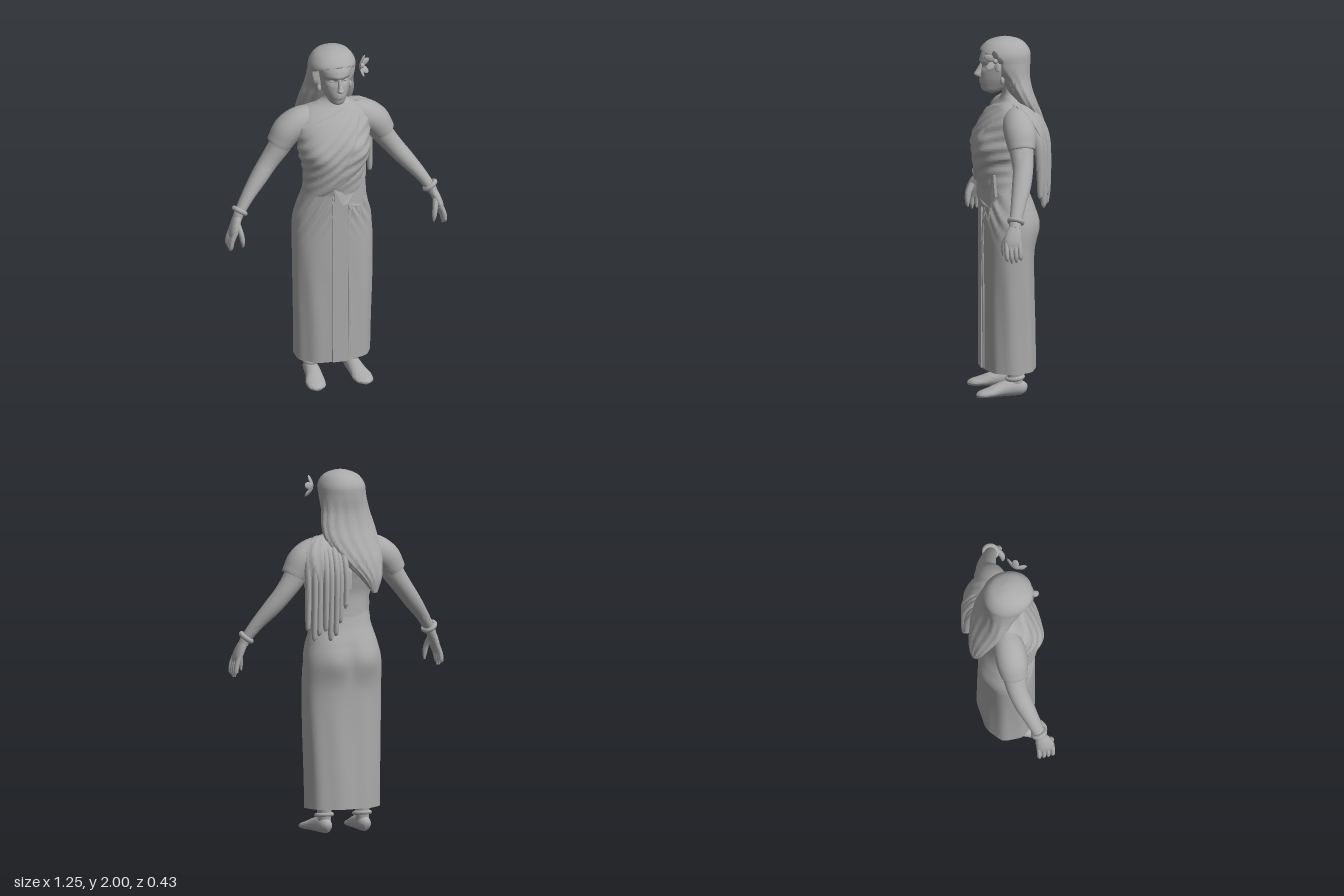
import * as THREE from 'three';
import { toCreasedNormals } from 'three/addons/utils/BufferGeometryUtils.js';

const stone = new THREE.MeshStandardMaterial({ color: 0xaaaaaa });
stone.name = 'stone grey';
const Z = new THREE.Vector3(0, 0, 1), X = new THREE.Vector3(1, 0, 0), Y = new THREE.Vector3(0, 1, 0);
const step = THREE.MathUtils.smoothstep;
const bump = (d, w) => Math.exp(-(d * d) / (w * w));

// Catmull-Rom interpolation of whole section rows
function spline(rows, t) {
  const f = t * (rows.length - 1), i = Math.min(Math.floor(f), rows.length - 2), u = f - i;
  const at = (k) => rows[THREE.MathUtils.clamp(k, 0, rows.length - 1)];
  const [a, b, c, d] = [at(i - 1), at(i), at(i + 1), at(i + 2)];
  return b.map((v, k) => 0.5 * (2 * v + (c[k] - a[k]) * u + (2 * a[k] - 5 * v + 4 * c[k] - d[k]) * u * u
    + (3 * v - a[k] - 3 * c[k] + d[k]) * u * u * u));
}

// Smooth tube through sections [x, y, z, radius along ref, radius across]
function sweep(rows, { ref = Z, rings = 24, sides = 20, axis = null, power = 1, shape = null } = {}) {
  const pos = [], idx = [], v = (r) => new THREE.Vector3(r[0], r[1], r[2]);
  for (let i = 0; i <= rings; i++) {
    const t = i / rings, s = spline(rows, t), c = v(s);
    const T = axis || v(spline(rows, Math.min(1, t + 0.01))).sub(v(spline(rows, Math.max(0, t - 0.01)))).normalize();
    const A = ref.clone().addScaledVector(T, -ref.dot(T)).normalize(), B = T.clone().cross(A);
    for (let j = 0; j < sides; j++) {
      const a = (j / sides) * Math.PI * 2, co = Math.cos(a), si = Math.sin(a);
      const p = c.clone()
        .addScaledVector(A, Math.sign(co) * Math.abs(co) ** power * Math.max(s[3], 0.001))
        .addScaledVector(B, Math.sign(si) * Math.abs(si) ** power * Math.max(s[4], 0.001));
      if (shape) shape(p, c, a);
      pos.push(p.x, p.y, p.z);
    }
  }
  for (let i = 0; i < rings; i++) for (let j = 0; j < sides; j++) {
    const a = i * sides + j, b = i * sides + (j + 1) % sides;
    idx.push(a, b, b + sides, a, b + sides, a + sides);
  }
  // end caps
  const n = (rings + 1) * sides, last = rings * sides;
  pos.push(...rows[0].slice(0, 3), ...rows[rows.length - 1].slice(0, 3));
  for (let j = 0; j < sides; j++) {
    const k = (j + 1) % sides;
    idx.push(n, k, j, n + 1, last + j, last + k);
  }
  const g = new THREE.BufferGeometry();
  g.setAttribute('position', new THREE.Float32BufferAttribute(pos, 3));
  g.setIndex(idx);
  return toCreasedNormals(g, 1.0);
}

const push = (p, c, d) => {
  const x = p.x - c.x, z = p.z - c.z, l = Math.hypot(x, z) || 1;
  p.x += (x / l) * d; p.z += (z / l) * d;
};

export function createModel() {
  const model = new THREE.Group();
  const add = (name, geo, parent = model) => {
    const m = new THREE.Mesh(geo, stone);
    m.name = name;
    parent.add(m);
    return m;
  };
  const ball = (name, x, y, z, sx, sy, sz) => {
    const m = add(name, new THREE.SphereGeometry(1, 16, 12));
    m.position.set(x, y, z);
    m.scale.set(sx, sy, sz);
    return m;
  };

  // long skirt with soft pleats, hips and gathered waist folds
  add('skirt', sweep([
    [0, 0.14, 0.012, 0.145, 0.212], [0, 0.35, 0.015, 0.145, 0.215], [0, 0.6, 0.018, 0.142, 0.222],
    [0, 0.8, 0.018, 0.143, 0.225], [0, 0.95, 0.008, 0.153, 0.22], [0, 1.05, 0.017, 0.145, 0.2],
    [0, 1.14, 0.033, 0.13, 0.174], [0, 1.22, 0.045, 0.122, 0.158]], {
    axis: Y, rings: 70, sides: 96, power: 0.88, shape(p, c, a) {
      const front = step(p.z, 0, 0.12), back = step(-p.z, 0.02, 0.1);
      let d = 0.003 * Math.sin(a * 9 + p.y * 2) * step(0.95 - p.y, 0, 0.5);
      d += 0.007 * front * bump(p.y - 1.06, 0.12) * Math.sin(Math.abs(p.x) * 130 + p.y * 70);
      d += 0.012 * back * bump(p.y - 0.95, 0.09) * bump(Math.abs(p.x) - 0.09, 0.06);
      d -= 0.008 * back * bump(p.y - 0.93, 0.1) * bump(p.x, 0.03);
      push(p, c, d);
    } }));

  // front pleat panel
  const panel = add('frontPleat', new THREE.BoxGeometry(0.086, 1.0, 0.022));
  panel.position.set(0.002, 0.645, 0.16);
  add('pleatFold', sweep([[0.05, 0.15, 0.152, 0.012, 0.012], [0.055, 0.5, 0.155, 0.012, 0.01],
    [0.045, 0.85, 0.158, 0.012, 0.012], [0.06, 1.08, 0.148, 0.012, 0.016]]));

  // torso and neck with the diagonal wrap
  add('torso', sweep([
    [0, 1.16, 0.04, 0.126, 0.166], [0, 1.24, 0.05, 0.13, 0.16], [0, 1.32, 0.055, 0.134, 0.165],
    [0, 1.4, 0.045, 0.142, 0.184], [0, 1.48, 0.025, 0.142, 0.192], [0, 1.56, 0.005, 0.118, 0.2],
    [0, 1.62, -0.012, 0.09, 0.165], [0, 1.66, -0.012, 0.064, 0.095], [0, 1.7, -0.005, 0.052, 0.056],
    [0, 1.78, 0.02, 0.05, 0.052]], {
    axis: Y, rings: 110, sides: 120, power: 0.93, shape(p, c) {
      const { x, y } = p, front = step(p.z, 0.0, 0.06);
      const cloth = step(1.625 + 0.36 * x - y, 0, 0.012);
      const over = step(0.14 - x - (1.62 - y) * 0.41, 0, 0.014);
      const hem = step(y - (1.22 + 0.7 * x), 0, 0.014);
      const folds = Math.sin((y - x * (0.5 + 0.5 * over)) * 95 + 3 * x) * bump(y - 1.4, 0.22);
      let d = 0.018 * bump(y - 1.41, 0.07) * bump(Math.abs(x) - 0.105, 0.06);
      d += cloth * (0.007 + 0.006 * over + 0.007 * hem + 0.0035 * folds);
      push(p, c, d * front);
    } }));

  // ragged end of the wrap at the waist
  const flap = new THREE.Shape([[-0.04, 1.21], [-0.035, 1.13], [0.01, 1.1], [0.04, 1.11], [0.055, 1.06],
    [0.09, 1.08], [0.125, 1.01], [0.135, 1.07], [0.165, 1.14], [0.155, 1.26], [0.06, 1.25]]
    .map(([x, y]) => new THREE.Vector2(x, y)));
  const flapGeo = new THREE.ExtrudeGeometry(flap, { depth: 0.014, bevelEnabled: false });
  const fp = flapGeo.attributes.position;
  for (let i = 0; i < fp.count; i++) fp.setZ(i, fp.getZ(i) + 0.172 - 2.6 * fp.getX(i) ** 2);
  flapGeo.computeVertexNormals();
  add('wrapEnd', flapGeo);

  // arms, sleeves, bracelets, hands, legs and feet
  for (const s of [1, -1]) {
    const side = s > 0 ? 'left' : 'right';
    const limb = (name, rows, o) => add(side + name, sweep(rows.map((r) => [r[0] * s, ...r.slice(1)]), o));
    limb('Arm', [[0.14, 1.56, -0.01, 0.07, 0.07], [0.24, 1.5, -0.01, 0.075, 0.07], [0.3, 1.41, -0.01, 0.065, 0.06],
      [0.36, 1.33, -0.005, 0.056, 0.052], [0.42, 1.255, 0.015, 0.052, 0.047], [0.49, 1.17, 0.045, 0.041, 0.036],
      [0.545, 1.09, 0.07, 0.034, 0.028], [0.56, 1.06, 0.075, 0.034, 0.026]], { rings: 36 });
    limb('Sleeve', [[0.1, 1.575, -0.015, 0.07, 0.07], [0.18, 1.55, -0.01, 0.086, 0.085],
      [0.245, 1.51, -0.01, 0.088, 0.083], [0.285, 1.455, -0.01, 0.079, 0.073], [0.3, 1.43, -0.01, 0.073, 0.067]]);
    const bangle = add(side + 'Bracelet', new THREE.TorusGeometry(0.034, 0.014, 10, 24));
    bangle.position.set(0.545 * s, 1.095, 0.068);
    bangle.quaternion.setFromUnitVectors(Z, new THREE.Vector3(0.55 * s, -0.8, 0.25).normalize());
    limb('Palm', [[0.552, 1.08, 0.07, 0.028, 0.022], [0.57, 1.04, 0.082, 0.042, 0.024],
      [0.588, 0.99, 0.092, 0.05, 0.023], [0.597, 0.95, 0.093, 0.044, 0.016]]);
    for (let k = 0; k < 4; k++) {
      const z = 0.055 + k * 0.025, tip = [0.9, 0.88, 0.876, 0.89][k];
      limb('Finger', [[0.588, 0.99, z, 0.013, 0.015], [0.606, 0.945, z, 0.0135, 0.014],
        [0.612, 0.905, z - 0.002, 0.012, 0.012], [0.607, tip, z - 0.004, 0.004, 0.005]], { rings: 12, sides: 10 });
    }
    limb('Thumb', [[0.57, 1.04, 0.1, 0.02, 0.016], [0.556, 0.985, 0.13, 0.017, 0.015],
      [0.549, 0.94, 0.138, 0.014, 0.013], [0.546, 0.905, 0.136, 0.005, 0.005]], { rings: 14, sides: 12 });
    limb('Leg', [[0.115, 0.03, -0.01, 0.04, 0.036], [0.113, 0.08, -0.008, 0.042, 0.036],
      [0.112, 0.16, -0.008, 0.05, 0.043], [0.11, 0.3, -0.008, 0.06, 0.055]]);
    const anklet = add(side + 'Anklet', new THREE.TorusGeometry(0.043, 0.012, 10, 24));
    anklet.position.set(0.113 * s, 0.1, -0.006);
    anklet.rotation.x = Math.PI / 2 + 0.15;
    limb('Foot', [[0.114, 0.032, -0.068, 0.014, 0.02], [0.115, 0.04, -0.045, 0.034, 0.039],
      [0.117, 0.046, 0.01, 0.041, 0.046], [0.123, 0.038, 0.08, 0.046, 0.038], [0.133, 0.026, 0.14, 0.055, 0.026],
      [0.138, 0.018, 0.19, 0.046, 0.018], [0.138, 0.012, 0.212, 0.016, 0.008]], { ref: X });
  }

  // face
  add('face', sweep([[0, 1.69, 0.1, 0.02, 0.018], [0, 1.705, 0.1, 0.055, 0.04], [0, 1.735, 0.085, 0.08, 0.056],
    [0, 1.78, 0.07, 0.098, 0.074], [0, 1.84, 0.062, 0.101, 0.085], [0, 1.9, 0.06, 0.105, 0.09],
    [0, 1.95, 0.05, 0.08, 0.075]], {
    axis: Y, rings: 50, sides: 64, shape(p) {
      if (p.z < 0.06) return;
      p.z -= 0.014 * bump(p.y - 1.845, 0.016) * bump(Math.abs(p.x) - 0.036, 0.024);
      p.z += 0.007 * bump(p.y - 1.872, 0.012) * bump(p.x, 0.06);
      p.z += 0.008 * bump(p.y - 1.757, 0.014) * bump(p.x, 0.028);
      p.z -= 0.005 * bump(p.y - 1.757, 0.004) * bump(p.x, 0.03);
    } }));
  add('nose', sweep([[0, 1.784, 0.172, 0.014, 0.014], [0, 1.797, 0.183, 0.021, 0.019],
    [0, 1.82, 0.168, 0.022, 0.012], [0, 1.86, 0.155, 0.012, 0.009]], { axis: Y, rings: 14, sides: 14 }));
  for (const s of [1, -1]) {
    ball('eye', 0.036 * s, 1.844, 0.138, 0.017, 0.008, 0.009);
    ball('earring', 0.088 * s, 1.775, 0.06, 0.012, 0.022, 0.012);
  }

  // long hair, open around the face and tapering down the back
  add('hair', sweep([[-0.11, 1.34, -0.19, 0.01, 0.015], [-0.095, 1.42, -0.175, 0.035, 0.06],
    [-0.055, 1.52, -0.145, 0.045, 0.115], [-0.02, 1.62, -0.09, 0.06, 0.15], [-0.01, 1.7, -0.05, 0.07, 0.152],
    [-0.008, 1.78, -0.018, 0.088, 0.136], [-0.005, 1.86, 0.015, 0.125, 0.13], [-0.004, 1.92, 0.03, 0.138, 0.126],
    [-0.002, 1.97, 0.03, 0.102, 0.094], [0, 1.995, 0.03, 0.04, 0.038], [0, 2.0, 0.03, 0.004, 0.004]], {
    axis: Y, rings: 80, sides: 80, power: 0.95, shape(p, c, a) {
      push(p, c, 0.003 * Math.sin(a * 14 + p.y * 5) * step(1.88 - p.y, 0, 0.15) * step(p.y, 1.34, 1.45));
      p.z = Math.min(p.z, 0.065 + 0.12 * step(p.y, 1.88, 1.945));
    } }));

  // shawl falling from the left shoulder in loose strands
  add('shawlYoke', sweep([[0.11, 1.36, -0.14, 0.035, 0.1], [0.125, 1.46, -0.125, 0.05, 0.125],
    [0.13, 1.55, -0.085, 0.06, 0.125], [0.12, 1.615, -0.045, 0.05, 0.1], [0.11, 1.645, -0.02, 0.03, 0.06]],
    { axis: Y, sides: 48, shape: (p, c, a) => push(p, c, 0.004 * Math.sin(a * 12)) }));
  for (let i = 0; i < 8; i++) {
    const x = 0.06 + i * 0.028, out = Math.max(0, i - 3) / 4, z = -0.185 + 0.055 * out + 0.01 * (i % 2);
    const low = i < 2 ? 1.26 - i * 0.08 : 1.09 + 0.025 * ((i * 5) % 3);
    add('shawlStrand', sweep([[x, low, z, 0.004, 0.006], [x + 0.002, low + 0.025, z, 0.016, 0.014],
      [x, 1.3, z, 0.022, 0.016], [x - 0.004, 1.45, z + 0.01, 0.026, 0.018],
      [x * 0.92, 1.55, z + 0.05, 0.025, 0.02], [x * 0.85, 1.61, z + 0.11, 0.015, 0.015]], { sides: 12 }));
  }

  // flower above the left ear
  const flower = new THREE.Group();
  flower.name = 'flower';
  flower.position.set(0.137, 1.9, 0.105);
  flower.quaternion.setFromUnitVectors(Z, new THREE.Vector3(0.8, 0.1, 0.6).normalize());
  model.add(flower);
  for (let i = 0; i < 5; i++) {
    const a = (i / 5) * Math.PI * 2 + 0.3;
    const petal = add('petal', new THREE.SphereGeometry(1, 14, 10), flower);
    petal.scale.set(0.033, 0.02, 0.007);
    petal.position.set(Math.cos(a) * 0.034, Math.sin(a) * 0.034, 0.012);
    petal.rotation.set(0, -0.5, a, 'ZYX');
  }
  add('flowerCentre', new THREE.SphereGeometry(0.014, 12, 10), flower).position.z = 0.008;
  return model;
}
